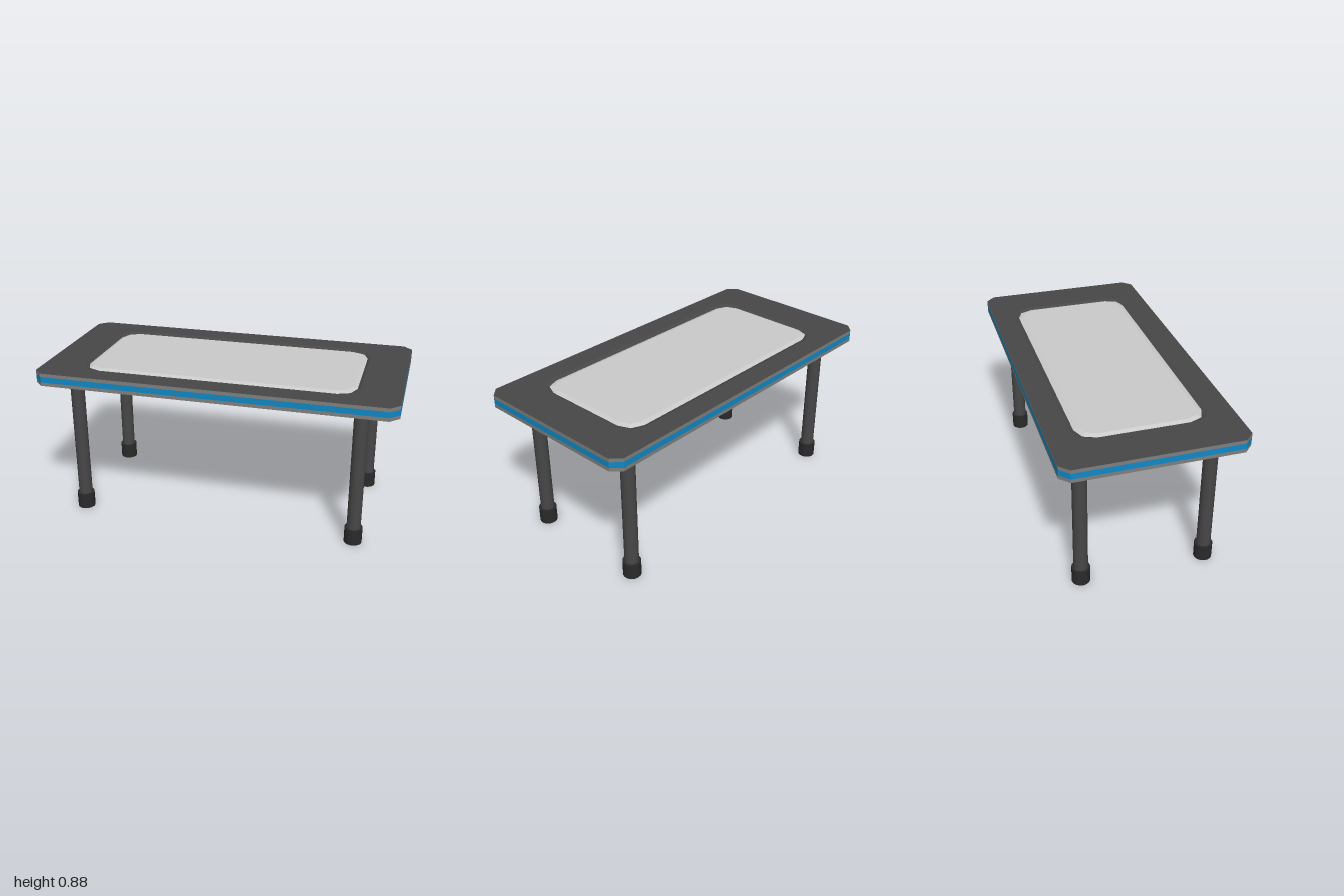
import * as THREE from 'three';

const mat = (name, color) => {
  const m = new THREE.MeshStandardMaterial({ color });
  m.name = name;
  return m;
};

// Rectangle outline with cut or rounded corners, counter-clockwise from above
function outline(hx, hy, r, steps) {
  const pts = [];
  const corners = [[1, 1], [-1, 1], [-1, -1], [1, -1]];
  corners.forEach(([sx, sy], c) => {
    for (let i = 0; i <= steps; i++) {
      const a = (c + i / steps) * Math.PI / 2;
      pts.push(new THREE.Vector2(sx * (hx - r) + r * Math.cos(a), sy * (hy - r) + r * Math.sin(a)));
    }
  });
  return pts;
}

// Flat-shaded strip joining two matching outlines at two heights
function band(a, ya, b, yb) {
  const pos = [];
  const put = (p, y) => pos.push(p.x, y, -p.y);
  a.forEach((_, i) => {
    const j = (i + 1) % a.length;
    put(a[i], ya); put(a[j], ya); put(b[j], yb);
    put(a[i], ya); put(b[j], yb); put(b[i], yb);
  });
  const g = new THREE.BufferGeometry();
  g.setAttribute('position', new THREE.Float32BufferAttribute(pos, 3));
  g.computeVertexNormals();
  return g;
}

// Flat horizontal face, facing up or down
function face(pts, y, up = true, hole = null) {
  const shape = new THREE.Shape(pts);
  if (hole) shape.holes.push(new THREE.Path(hole));
  return new THREE.ShapeGeometry(shape).rotateX(up ? -Math.PI / 2 : Math.PI / 2).translate(0, y, 0);
}

export function createModel() {
  const group = new THREE.Group();
  group.name = 'table';
  const dark = mat('dark grey', 0x474747);
  const rim = mat('mid grey', 0x7f7f7e);
  const blue = mat('blue', 0x1088c6);
  const light = mat('light grey', 0xc9cbc9);
  const black = mat('near black', 0x2a2a2a);

  const add = (name, geometry, material, parent = group) => {
    const mesh = new THREE.Mesh(geometry, material);
    mesh.name = name;
    parent.add(mesh);
    return mesh;
  };

  // Table top with cut corners and a striped edge
  const bottom = 0.805, top = 0.877, floor = 0.867;
  const edge = outline(1, 0.49, 0.05, 1);
  const opening = outline(0.775, 0.365, 0.1, 2);
  const panelBase = outline(0.76, 0.34, 0.095, 2);
  const panelTop = outline(0.738, 0.315, 0.08, 2);
  add('underside', face(edge, bottom, false), dark);
  add('lowerRim', band(edge, bottom, edge, 0.825), rim);
  add('edgeStripe', band(edge, 0.825, edge, 0.857), blue);
  add('upperRim', band(edge, 0.857, edge, top), rim);
  add('topFrame', face(edge, top, true, opening), dark);

  // Light panel sitting in a shallow bevelled recess
  add('recessSlope', band(opening, top, panelBase, floor), dark);
  add('panelBevel', band(panelBase, floor, panelTop, top - 0.001), light);
  add('panel', face(panelTop, top - 0.001), light);

  // Four round legs with wider feet
  const legGeo = new THREE.CylinderGeometry(0.039, 0.039, bottom - 0.09, 24, 1, true)
    .translate(0, (bottom + 0.09) / 2, 0);
  const footGeo = new THREE.CylinderGeometry(0.05, 0.05, 0.092, 24).translate(0, 0.046, 0);
  for (const [sx, side] of [[1, 'Left'], [-1, 'Right']]) {
    for (const [sz, end] of [[1, 'front'], [-1, 'back']]) {
      const leg = new THREE.Group();
      leg.name = `${end}${side}Leg`;
      leg.position.set(sx * 0.8, 0, sz * 0.35);
      add('legPost', legGeo, dark, leg);
      add('foot', footGeo, black, leg);
      group.add(leg);
    }
  }
  return group;
}
